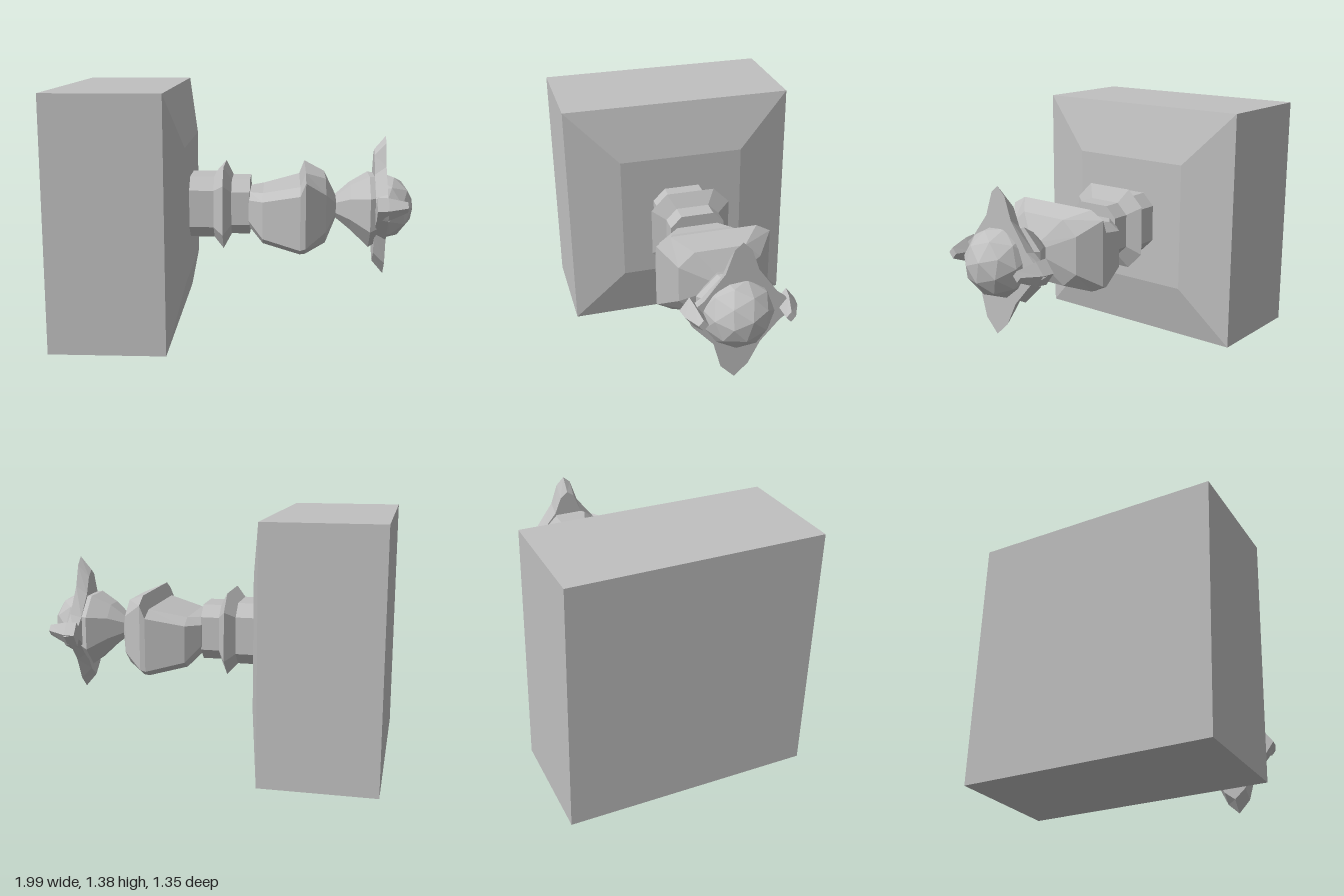
import * as THREE from 'three';

// Skin a list of rings [{x, pts:[[y,z],...]}] along x; rings turn from +y towards +z.
function loft(rings) {
  const n = rings[0].pts.length;
  const pos = [];
  const idx = [];
  for (const { x, pts } of rings) for (const [y, z] of pts) pos.push(x, y, z);
  for (let i = 0; i < rings.length - 1; i++) {
    for (let j = 0; j < n; j++) {
      const a = i * n + j, b = i * n + (j + 1) % n;
      idx.push(a, b, b + n, a, b + n, a + n);
    }
  }
  // Close both ends with fans around the ring centres
  [0, rings.length - 1].forEach((r, end) => {
    const { x, pts } = rings[r];
    const c = pos.length / 3;
    const mean = (k) => pts.reduce((s, p) => s + p[k], 0) / n;
    pos.push(x, mean(0), mean(1));
    for (let j = 0; j < n; j++) {
      const a = r * n + j, b = r * n + (j + 1) % n;
      if (end) idx.push(c, a, b);
      else idx.push(c, b, a);
    }
  });
  const g = new THREE.BufferGeometry();
  g.setAttribute('position', new THREE.Float32BufferAttribute(pos, 3));
  g.setIndex(idx);
  const flat = g.toNonIndexed();
  flat.computeVertexNormals();
  return flat;
}

// Rectangle with chamfered corners: bottom, top, half depth, chamfer in y and z
function section([x, y0, y1, h, cy, cz]) {
  return {
    x,
    pts: [
      [y1, -h + cz], [y1, h - cz], [y1 - cy, h], [y0 + cy, h],
      [y0, h - cz], [y0, -h + cz], [y0 + cy, -h], [y1 - cy, -h],
    ],
  };
}

export function createModel() {
  const group = new THREE.Group();
  const stone = new THREE.MeshStandardMaterial({ color: 0xc0c0c0, flatShading: true });
  const add = (name, geometry) => {
    const mesh = new THREE.Mesh(geometry, stone);
    mesh.name = name;
    group.add(mesh);
    return mesh;
  };

  // Wall block with a bevelled face
  const rect = (x, y0, y1, h) => ({ x, pts: [[y1, -h], [y1, h], [y0, h], [y0, -h]] });
  add('wallBlock', loft([
    rect(-1, 0, 1.385, 0.677),
    rect(-0.365, 0, 1.385, 0.677),
    rect(-0.288, 0.32, 1.07, 0.37),
  ]));

  // Neck with a flared collar
  const ring = (x, r) => section([x, 0.695 - r, 0.695 + r, r, r * 0.4, r * 0.4]);
  add('neck', loft([
    ring(-0.3, 0.176), ring(-0.15, 0.176), ring(-0.095, 0.235),
    ring(-0.05, 0.158), ring(0.055, 0.158),
  ]));

  // Bulging body: x, bottom, top, half depth, chamfers
  add('body', loft([
    [0.05, 0.585, 0.785, 0.165, 0.04, 0.05],
    [0.13, 0.5, 0.79, 0.245, 0.04, 0.07],
    [0.34, 0.453, 0.838, 0.32, 0.04, 0.08],
    [0.37, 0.458, 0.917, 0.322, 0.045, 0.08],
    [0.485, 0.5, 0.87, 0.23, 0.08, 0.09],
    [0.55, 0.63, 0.745, 0.065, 0.03, 0.03],
  ].map(section)));

  // Head flaring out behind the ruff
  add('headBack', loft([
    [0.54, 0.63, 0.745, 0.065, 0.03, 0.03],
    [0.63, 0.56, 0.82, 0.13, 0.07, 0.07],
    [0.735, 0.465, 0.875, 0.205, 0.11, 0.11],
    [0.8, 0.5, 0.87, 0.17, 0.1, 0.1],
  ].map(section)));

  // Faceted ball at the front of the head
  const ball = add('headBall', new THREE.IcosahedronGeometry(0.193, 1));
  ball.position.set(0.803, 0.69, 0.01);
  ball.rotation.set(0.3, 0.2, 0.15);

  // Four-pointed ruff, narrower at the back
  const star = [
    [1.097, -0.008], [1.06, 0.035], [0.93, 0.08], [0.79, 0.19], [0.72, 0.285],
    [0.65, 0.255], [0.52, 0.14], [0.37, 0.1], [0.29, 0.025], [0.36, -0.05],
    [0.49, -0.115], [0.61, -0.22], [0.67, -0.315], [0.78, -0.2], [0.93, -0.095],
    [1.05, -0.055],
  ];
  const back = star.map(([y, z]) => [0.69 + (y - 0.69) * 0.81, z * 0.97]);
  add('ruff', loft([{ x: 0.765, pts: back }, { x: 0.83, pts: star }]));

  // Side points of the ruff curling forward
  const spike = (x, y, hy, z, hz) => ({
    x, pts: [[y + hy, z], [y, z + hz], [y - hy, z], [y, z - hz]],
  });
  for (const [name, s, y] of [['leftRuffPoint', 1, 0.715], ['rightRuffPoint', -1, 0.68]]) {
    const out = s > 0 ? 0 : 0.02;
    add(name, loft([
      spike(0.765, y, 0.07, s * (0.25 + out), 0.052),
      spike(0.83, y, 0.065, s * (0.242 + out), 0.05),
      spike(0.94, y + 0.01, 0.03, s * (0.225 + out / 2), 0.026),
    ]));
  }
  return group;
}
